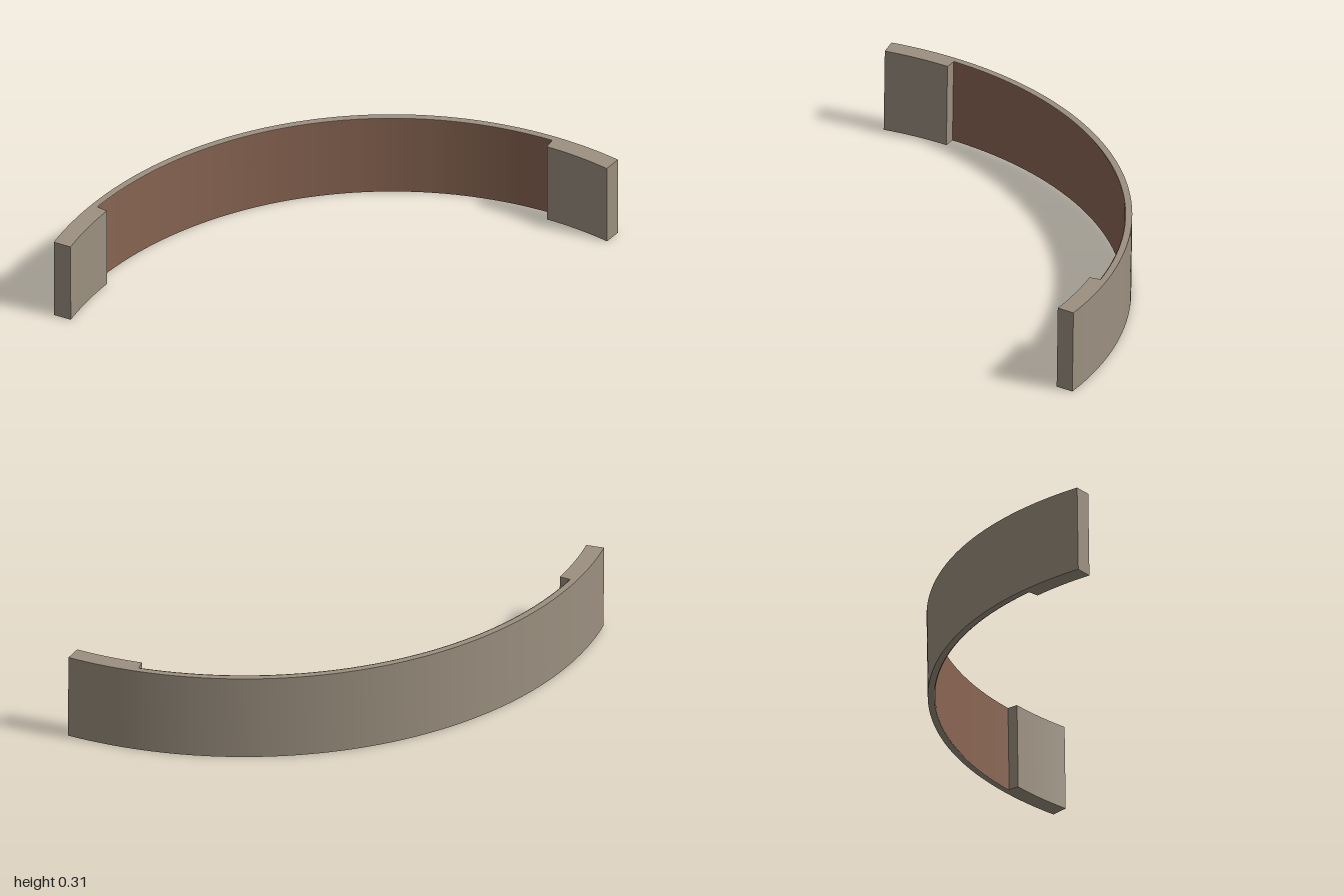
import * as THREE from 'three';
import { toCreasedNormals } from 'three/addons/utils/BufferGeometryUtils.js';

const HEIGHT = 0.31, CENTER_Z = 1.034, LEAN = 0.004;
const OUTER = 1.29, INNER = 1.267, PAD = 1.226;
const END = THREE.MathUtils.degToRad(50.8);
const PAD_START = THREE.MathUtils.degToRad(39.5);

// Tilts an upright piece very slightly towards the back
function lean(geometry) {
  const shear = new THREE.Matrix4().makeShear(0, 0, 0, -LEAN / HEIGHT, 0, 0);
  const p = geometry.attributes.position;
  // keep the rule explicit: z shifts back in proportion to height
  for (let i = 0; i < p.count; i++) p.setZ(i, p.getZ(i) + shear.elements[6] * p.getY(i));
  return geometry;
}

// Upright arc wall between two radii and two angles, measured from the back
function arcWall(rOut, rIn, from, to, segments) {
  const shape = new THREE.Shape();
  const a = Math.PI / 2 - to, b = Math.PI / 2 - from;
  shape.absarc(0, -CENTER_Z, rOut, a, b, false);
  shape.absarc(0, -CENTER_Z, rIn, b, a, true);
  shape.closePath();
  const g = new THREE.ExtrudeGeometry(shape, { depth: HEIGHT, bevelEnabled: false, curveSegments: segments });
  g.rotateX(-Math.PI / 2);
  return toCreasedNormals(lean(g), 0.4);
}

export function createModel() {
  const group = new THREE.Group();
  const tan = new THREE.MeshStandardMaterial({ color: 0x9c9080 });
  tan.name = 'tan';
  const brown = new THREE.MeshStandardMaterial({ color: 0x8a6653, side: THREE.DoubleSide });
  brown.name = 'brown';

  const add = (name, geometry, material) => {
    const mesh = new THREE.Mesh(geometry, material);
    mesh.name = name;
    group.add(mesh);
  };

  // Thin curved band
  add('curvedBand', arcWall(OUTER, INNER, -END, END, 48), tan);

  // Thick pads inside both ends
  add('leftEndPad', arcWall(INNER, PAD, PAD_START, END, 8), tan);
  add('rightEndPad', arcWall(INNER, PAD, -END, -PAD_START, 8), tan);

  // Brown facing on the inside of the band, between the pads
  const r = INNER - 0.002;
  const facing = new THREE.CylinderGeometry(r, r, HEIGHT, 40, 1, true, Math.PI - PAD_START, 2 * PAD_START);
  facing.translate(0, HEIGHT / 2, CENTER_Z);
  add('innerFacing', lean(facing), brown);

  return group;
}
